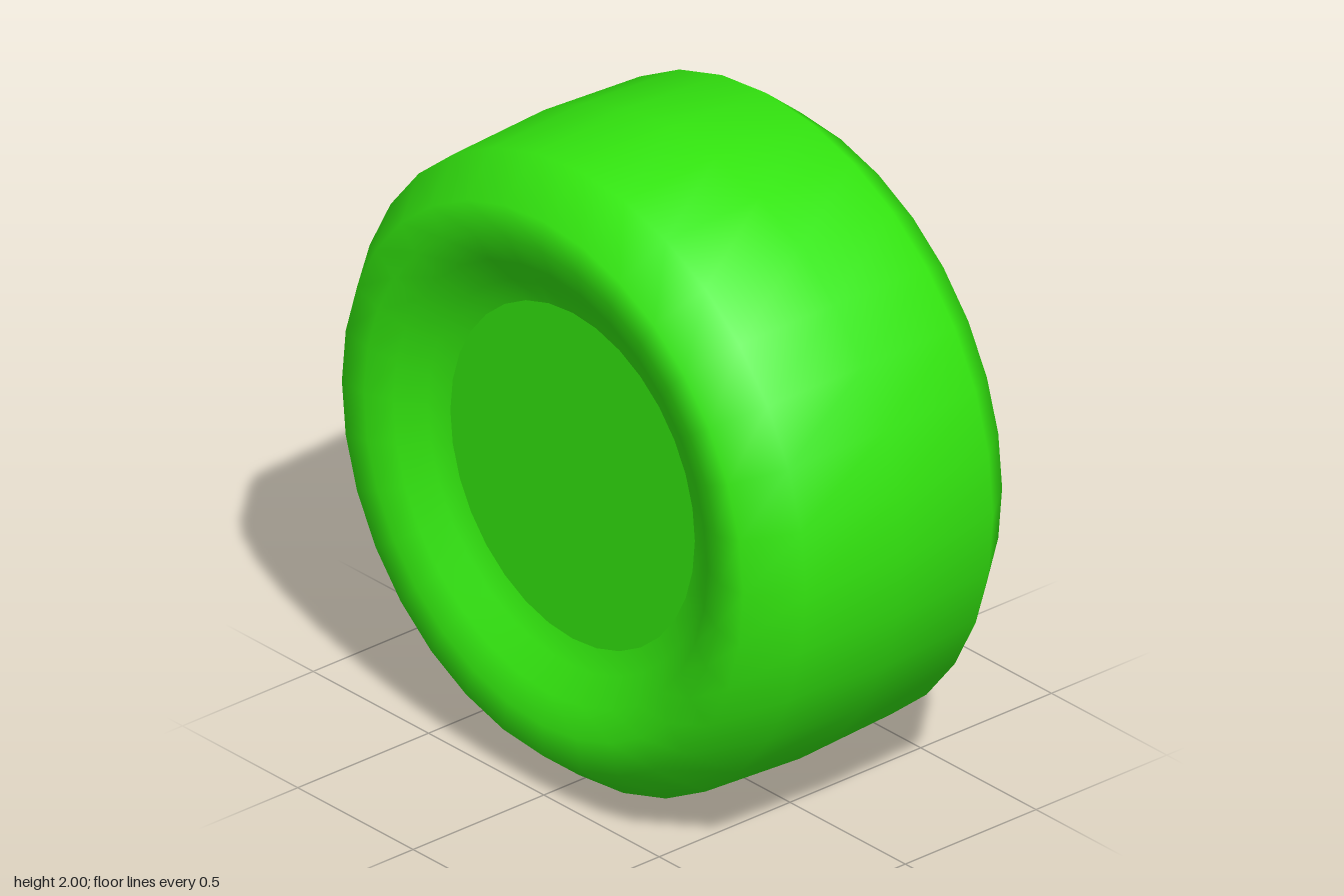
import * as THREE from 'three';

const green = new THREE.MeshStandardMaterial({ color: 0x33e60f });
green.name = 'brightGreen';

const V = (x, y, z) => new THREE.Vector3(x, y, z);

function add(parent, name, geometry) {
  const mesh = new THREE.Mesh(geometry, green);
  mesh.name = name;
  parent.add(mesh);
  return mesh;
}

// Lathe around the wheel axle (x); profile points are [x, radius], outward faces follow +x
function turned(profile, segments = 32) {
  return new THREE.LatheGeometry(profile.map(([x, r]) => new THREE.Vector2(r, x)), segments).rotateZ(-Math.PI / 2);
}

// Cylinder lying along the axle from x0 to x1
function peg(x0, x1, r0, r1, sides) {
  return new THREE.CylinderGeometry(r1, r0, x1 - x0, sides).rotateZ(-Math.PI / 2).translate((x0 + x1) / 2, 0, 0);
}

function rod(parent, name, a, b, radius) {
  const mesh = add(parent, name, new THREE.CylinderGeometry(radius, radius, a.distanceTo(b), 7));
  mesh.position.copy(a).add(b).multiplyScalar(0.5);
  mesh.quaternion.setFromUnitVectors(V(0, 1, 0), b.clone().sub(a).normalize());
}

// Hooked claw with a ridged back; y is the radial direction
function clawGeometry() {
  // radius, half width, base x, shoulder x, ridge x
  const sections = [
    [0.30, 0.008, 0.30, 0.32, 0.335],
    [0.38, 0.035, 0.29, 0.35, 0.40],
    [0.44, 0.07, 0.28, 0.38, 0.45],
    [0.50, 0.065, 0.30, 0.42, 0.485],
    [0.535, 0.07, 0.33, 0.44, 0.51],
    [0.57, 0.085, 0.36, 0.44, 0.48],
    [0.61, 0.065, 0.38, 0.43, 0.45],
  ];
  const n = 5, positions = [], index = [];
  for (const [r, w, base, mid, top] of sections) {
    positions.push(base, r, -w, mid, r, -w, top, r, 0, mid, r, w, base, r, w);
  }
  const last = (sections.length - 1) * n;
  for (let i = 0; i < last; i += n) {
    for (let j = 0; j < n; j++) {
      const a = i + j, b = i + (j + 1) % n;
      index.push(a, a + n, b, b, a + n, b + n);
    }
  }
  for (let j = 1; j < n - 1; j++) {
    index.push(0, j, j + 1, last, last + j + 1, last + j);
  }
  const g = new THREE.BufferGeometry();
  g.setAttribute('position', new THREE.Float32BufferAttribute(positions, 3));
  g.setIndex(index);
  const flat = g.toNonIndexed();
  flat.computeVertexNormals();
  return flat;
}

// Ring of oval links, alternately lying flat and standing on edge
function chain(parent, name, radius, x, count, size) {
  const group = new THREE.Group();
  group.name = name;
  const link = new THREE.TorusGeometry(size, size * 0.3, 6, 12).scale(1.45, 0.85, 1);
  for (let i = 0; i < count; i++) {
    const holder = new THREE.Group();
    holder.rotation.x = (i / count) * Math.PI * 2;
    const mesh = add(holder, 'chainLink', link);
    mesh.position.set(x, radius, 0);
    mesh.rotation.set(i % 2 ? 0.35 : 1.35, Math.PI / 2, 0, 'YXZ');
    group.add(holder);
  }
  parent.add(group);
}

export function createModel() {
  const model = new THREE.Group();
  model.name = 'wheel';
  const wheel = new THREE.Group();
  wheel.name = 'wheelAssembly';
  wheel.position.y = 1;
  model.add(wheel);

  // Tyre with rounded, dished sidewalls
  add(wheel, 'tyre', turned([
    [-0.39, 0.53], [-0.415, 0.6], [-0.475, 0.68], [-0.508, 0.77], [-0.505, 0.87],
    [-0.365, 0.983], [-0.01, 1], [0.35, 0.983],
    [0.485, 0.87], [0.488, 0.77], [0.455, 0.68], [0.40, 0.6], [0.38, 0.545],
  ]));
  add(wheel, 'backCover', new THREE.CircleGeometry(0.532, 32).rotateY(-Math.PI / 2)).position.x = -0.39;

  // Stepped rim: each step is its own surface, so its edges stay sharp
  const rim = [[0.385, 0.55], [0.31, 0.52], [0.31, 0.40], [0.26, 0.395], [0.26, 0.35], [0.31, 0.31], [0.33, 0.30], [0.33, 0.27], [0.28, 0.24], [0.275, 0]];
  for (let i = 0; i < rim.length - 1; i++) {
    add(wheel, i < 5 ? 'rim' : 'hub', turned([rim[i], rim[i + 1]]));
  }
  add(wheel, 'rimRing', new THREE.TorusGeometry(0.385, 0.014, 6, 40).rotateY(Math.PI / 2)).position.x = 0.31;

  // Claws, with a plate, nut and spike between each pair
  const claw = clawGeometry();
  for (let i = 0; i < 8; i++) {
    const arm = new THREE.Group();
    arm.name = 'clawArm';
    arm.rotation.x = (i * Math.PI) / 4;
    add(arm, 'claw', claw);
    wheel.add(arm);

    const bay = new THREE.Group();
    bay.name = 'spikeBay';
    bay.rotation.x = ((i + 0.5) * Math.PI) / 4;
    add(bay, 'plate', new THREE.BoxGeometry(0.05, 0.10, 0.17)).position.set(0.315, 0.445, 0);
    add(bay, 'nut', peg(0.33, 0.37, 0.038, 0.036, 6)).position.y = 0.44;
    add(bay, 'spike', peg(0.36, 0.507, 0.028, 0.007, 8)).position.y = 0.44;
    // Crossed struts between hub and rim
    rod(bay, 'strut', V(0.32, 0.30, -0.09), V(0.335, 0.37, 0.06), 0.011);
    rod(bay, 'strut', V(0.33, 0.30, 0.02), V(0.34, 0.37, -0.06), 0.009);
    wheel.add(bay);
  }

  chain(wheel, 'outerChain', 0.54, 0.445, 52, 0.029);
  chain(wheel, 'innerChain', 0.29, 0.345, 44, 0.018);

  // Hub bolts
  for (let i = 0; i < 6; i++) {
    const a = (i * Math.PI) / 3;
    add(wheel, 'hubBolt', peg(0.27, 0.37, 0.038, 0.038, 6)).position.set(0, Math.cos(a) * 0.14, Math.sin(a) * 0.14);
  }

  // Loose bars laid across the hub: [y0, z0, y1, z1, x, radius]
  const bars = [
    [-0.01, 0.235, 0.01, -0.235, 0.385, 0.012],
    [-0.21, 0.05, 0.21, 0.04, 0.37, 0.012],
    [0.01, -0.12, 0.20, -0.095, 0.36, 0.01],
    [0.06, -0.02, -0.12, -0.18, 0.35, 0.01],
    [0.09, 0.23, 0.0, 0.10, 0.34, 0.009],
    [-0.02, -0.06, -0.07, -0.19, 0.36, 0.009],
  ];
  for (const [y0, z0, y1, z1, x, r] of bars) rod(wheel, 'hubBar', V(x, y0, z0), V(x, y1, z1), r);

  return model;
}
